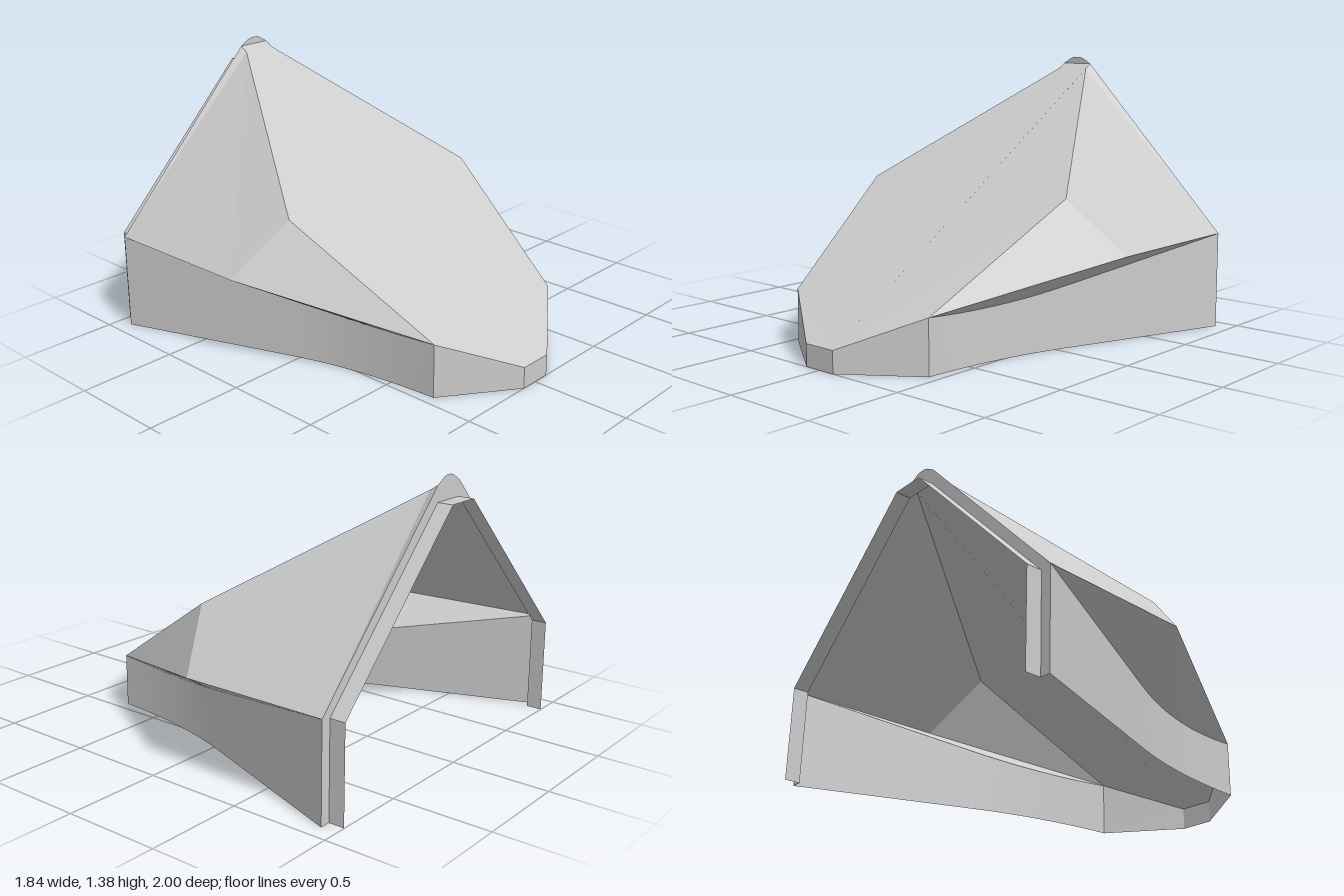
import * as THREE from 'three';

const V = (x, y, z) => new THREE.Vector3(x, y, z);
const flip = (p) => V(-p.x, p.y, p.z);

// Thin sheets, visible from both sides
const flat = new THREE.MeshStandardMaterial({ color: 0xcccccc, side: THREE.DoubleSide, flatShading: true });
const smooth = new THREE.MeshStandardMaterial({ color: 0xcccccc, side: THREE.DoubleSide });

// Flat facet: a fan of triangles around the first corner
function facet(points) {
  const tris = [];
  for (let i = 1; i < points.length - 1; i++) tris.push(points[0], points[i], points[i + 1]);
  const g = new THREE.BufferGeometry().setFromPoints(tris);
  g.computeVertexNormals();
  return g;
}

// Upright wall from the ground to a top line
function wall(top) {
  const pts = top.flatMap((p) => [V(p.x, 0, p.z), p]);
  const index = [];
  for (let i = 0; i < top.length - 1; i++) {
    const a = 2 * i;
    index.push(a, a + 1, a + 2, a + 2, a + 1, a + 3);
  }
  const g = new THREE.BufferGeometry().setFromPoints(pts);
  g.setIndex(index);
  g.computeVertexNormals();
  return g;
}

export function createModel() {
  const model = new THREE.Group();
  const add = (name, geometry, material = flat) => {
    const mesh = new THREE.Mesh(geometry, material);
    mesh.name = name;
    model.add(mesh);
  };

  // Key corners of the left half (+x)
  const nose = V(0.09, 0.11, 1);
  const cheek = V(0.445, 0.272, 0.745);
  const shoulder = V(0.64, 0.745, 0.008);
  const eave = V(0.895, 0.478, -0.13);
  const rear = V(0.92, 0.49, -0.92);
  const crown = V(0.09, 1.313, -0.88);
  const ridge = V(0.09, 1.339, -0.92);

  // Top line of the side wall: a concave sweep, then straight to the rear
  const sweep = new THREE.QuadraticBezierCurve3(cheek, V(0.47, 0.238, 0.3), V(0.6, 0.31, -0.05));
  const wallTop = [...sweep.getPoints(16), rear];

  // Sloping top panel
  const half = [nose, cheek, shoulder, crown, ridge];
  add('topPanel', facet([...half, ...half.map(flip).reverse()]));
  add('noseFront', wall([nose, flip(nose)]));

  // Mirrored side parts, as point lists
  for (const [side, m] of [['left', (p) => p], ['right', flip]]) {
    const at = (...pts) => pts.map(m);
    add(`${side}RoofPanel`, facet(at(crown, shoulder, eave, rear)));
    add(`${side}RoofCorner`, facet(at(cheek, eave, shoulder)));
    add(`${side}RearBevel`, facet(at(crown, rear, ridge)));
    add(`${side}Soffit`, facet(at(eave, ...wallTop)));
    add(`${side}NoseWall`, wall(at(nose, cheek)));
    add(`${side}SideWall`, wall(at(...wallTop)), smooth);
  }

  // Rear flange: flat rim between the shell and the collar
  const collar = [[0.866, 0], [0.866, 0.478], [0.088, 1.26]];
  const outer = [[0.92, 0], [0.92, 0.49], [0.09, 1.339], [0.04, 1.368], [0.018, 1.375]];
  const arch = (pts) => [...pts, ...pts.map(([x, y]) => [-x, y]).reverse()];
  const rim = [...arch(outer), ...arch(collar).reverse()].map(([x, y]) => new THREE.Vector2(x, y));
  const flange = new THREE.ShapeGeometry(new THREE.Shape(rim));
  flange.translate(0, 0, -0.92);
  add('rearFlange', flange);

  // Rear collar: thin lip running back from the flange
  const lip = arch(collar);
  for (let i = 0; i < lip.length - 1; i++) {
    const [[x1, y1], [x2, y2]] = [lip[i], lip[i + 1]];
    add('rearCollar', facet([V(x1, y1, -0.92), V(x1, y1, -1), V(x2, y2, -1), V(x2, y2, -0.92)]));
  }
  return model;
}
